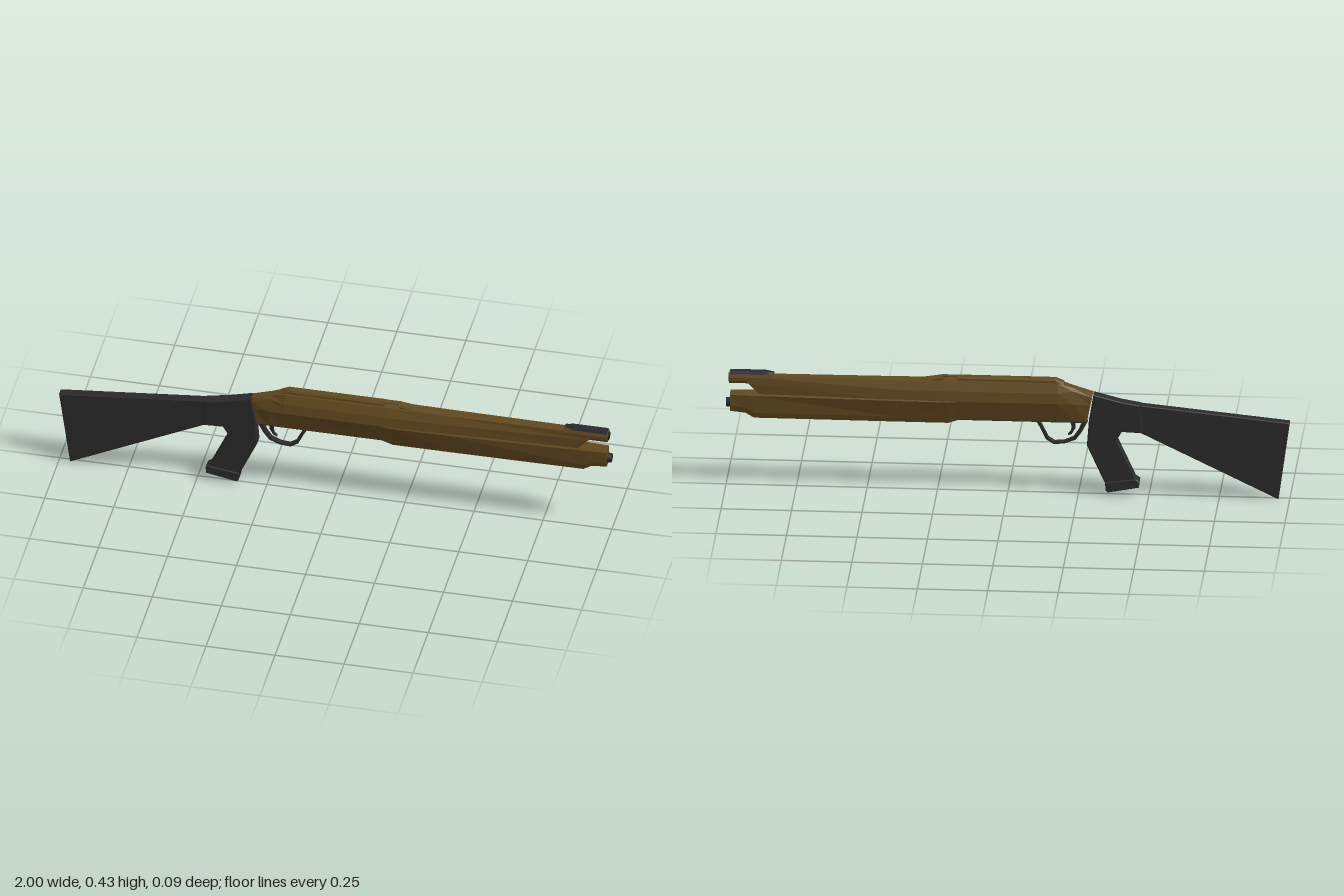
import * as THREE from 'three';

const brown = new THREE.MeshStandardMaterial({ color: 0x62491f });
brown.name = 'brown furniture';
const black = new THREE.MeshStandardMaterial({ color: 0x2b2b2b });
black.name = 'black polymer';
const steel = new THREE.MeshStandardMaterial({ color: 0x292a30 });
steel.name = 'dark steel';
const bore = new THREE.MeshStandardMaterial({ color: 0x2a2112 });
bore.name = 'bore shadow';

// Faceted loft along x. Each station: { x, skew, p: [[halfWidth, y], ...] } listed from top to bottom.
function loft(stations) {
  const pos = [];
  const rings = stations.map(({ x, skew = 0, p }) => {
    const at = (y) => x + (y - 0.36) * skew;
    return [
      ...p.map(([w, y]) => [at(y), y, w]),
      ...[...p].reverse().map(([w, y]) => [at(y), y, -w]),
    ];
  });
  const n = rings[0].length;
  for (let i = 0; i < rings.length - 1; i++) {
    for (let j = 0; j < n; j++) {
      const k = (j + 1) % n;
      const a = rings[i][j], b = rings[i][k], c = rings[i + 1][j], d = rings[i + 1][k];
      pos.push(...a, ...b, ...d, ...a, ...d, ...c);
    }
  }
  const first = rings[0], last = rings[rings.length - 1];
  for (let j = 1; j < n - 1; j++) {
    pos.push(...last[0], ...last[j], ...last[j + 1]);
    pos.push(...first[0], ...first[j + 1], ...first[j]);
  }
  const g = new THREE.BufferGeometry();
  g.setAttribute('position', new THREE.Float32BufferAttribute(pos, 3));
  g.computeVertexNormals();
  return g;
}

// Side outline extruded symmetrically across z, with a small chamfer.
function plate(points, half, bevel = 0.003) {
  const shape = new THREE.Shape(points.map(([x, y]) => new THREE.Vector2(x, y)));
  const g = new THREE.ExtrudeGeometry(shape, {
    depth: 2 * (half - bevel), bevelEnabled: bevel > 0, bevelSize: bevel,
    bevelOffset: -bevel, bevelThickness: bevel, bevelSegments: 1,
  });
  return g.translate(0, 0, -(half - bevel));
}

export function createModel() {
  const model = new THREE.Group();
  const add = (name, geometry, material) => {
    const mesh = new THREE.Mesh(geometry, material);
    mesh.name = name;
    model.add(mesh);
    return mesh;
  };

  // Receiver and upper shroud
  add('receiver', loft([
    { x: -0.297, skew: -0.2, p: [[0.013, 0.386], [0.02, 0.372], [0.023, 0.345], [0.02, 0.28]] },
    { x: -0.235, skew: 0.1, p: [[0.014, 0.408], [0.024, 0.396], [0.034, 0.35], [0.021, 0.28]] },
    { x: -0.18, p: [[0.022, 0.423], [0.036, 0.39], [0.04, 0.353], [0.022, 0.28]] },
    { x: 0.2, p: [[0.022, 0.423], [0.037, 0.39], [0.042, 0.353], [0.022, 0.28]] },
    { x: 0.4, p: [[0.021, 0.421], [0.034, 0.39], [0.038, 0.353], [0.022, 0.28]] },
    { x: 0.885, skew: 1, p: [[0.017, 0.42], [0.021, 0.395], [0.022, 0.355], [0.018, 0.29]] },
  ]), brown);

  // Fore-end with cut-back nose
  const forend = (x, w, bottom, bw) => ({
    x, p: [[w - 0.004, 0.356], [w, 0.35], [bw + 0.005, bottom + 0.02], [bw, bottom]],
  });
  add('foreEnd', loft([
    forend(0.175, 0.042, 0.277, 0.021),
    forend(0.21, 0.044, 0.265, 0.021),
    forend(0.4, 0.041, 0.265, 0.021),
    forend(0.9, 0.026, 0.265, 0.018),
    forend(0.93, 0.025, 0.283, 0.018),
    forend(0.985, 0.022, 0.288, 0.017),
  ]), brown);

  // Upper barrel shroud ahead of the notch
  const barrel = (x) => ({ x, p: [[0.014, 0.43], [0.02, 0.415], [0.02, 0.403], [0.015, 0.393]] });
  add('barrelShroud', loft([barrel(0.83), barrel(0.988)]), brown);

  // Top rib, its slot bridge and the front ramp
  const rib = (x, top) => ({ x, p: [[0.011, top], [0.015, top - 0.006], [0.017, 0.415]] });
  add('topRib', loft([rib(-0.2, 0.424), rib(-0.17, 0.437), rib(0.18, 0.437)]), brown);
  add('ribRamp', loft([rib(0.23, 0.437), rib(0.31, 0.424)]), brown);
  add('ribBridge', new THREE.BoxGeometry(0.06, 0.003, 0.02).translate(0.205, 0.4355, 0), brown);

  // Front sight strip
  add('frontSight', loft([
    { x: 0.83, p: [[0.008, 0.432], [0.015, 0.426]] },
    { x: 0.86, p: [[0.01, 0.437], [0.0165, 0.426]] },
    { x: 0.985, p: [[0.01, 0.437], [0.0165, 0.426]] },
  ]), steel);

  // Muzzle opening and magazine tube cap
  add('muzzle', new THREE.CylinderGeometry(0.015, 0.015, 0.006, 20)
    .rotateZ(Math.PI / 2).translate(0.988, 0.411, 0), bore);
  add('magazineCap', new THREE.CylinderGeometry(0.016, 0.02, 0.03, 20)
    .rotateZ(-Math.PI / 2).translate(0.985, 0.316, 0), steel);

  // Underside plate of the receiver
  add('lowerPlate', new THREE.BoxGeometry(0.455, 0.006, 0.036).translate(-0.05, 0.279, 0), black);

  // Shoulder stock
  add('stock', plate([
    [-1, 0.294], [-0.96, 0.005], [-0.47, 0.243], [-0.4, 0.247], [-0.4, 0.357], [-0.47, 0.347],
  ], 0.017), black);

  // Wrist and pistol grip
  add('pistolGrip', plate([
    [-0.47, 0.347], [-0.48, 0.243], [-0.405, 0.246], [-0.387, 0.215], [-0.458, 0.06],
    [-0.35, 0.04], [-0.281, 0.192], [-0.288, 0.285], [-0.304, 0.384], [-0.4, 0.359],
  ], 0.021), black);
  add('gripCap', plate([
    [-0.455, 0.07], [-0.468, 0.06], [-0.465, 0.038], [-0.356, 0.017], [-0.348, 0.025],
    [-0.345, 0.055],
  ], 0.024), black);

  // Trigger guard: a flat bent strip
  const outer = [[-0.284, 0.28], [-0.262, 0.238], [-0.24, 0.208], [-0.2, 0.193], [-0.162, 0.19],
    [-0.135, 0.208], [-0.115, 0.25], [-0.098, 0.28]];
  const inner = [[-0.11, 0.28], [-0.126, 0.25], [-0.144, 0.214], [-0.166, 0.2], [-0.2, 0.203],
    [-0.232, 0.217], [-0.25, 0.243], [-0.266, 0.28]];
  add('triggerGuard', plate([...outer, ...inner], 0.009, 0.001), black);

  // Curved trigger blade
  add('trigger', plate([
    [-0.24, 0.28], [-0.24, 0.252], [-0.226, 0.228], [-0.212, 0.222], [-0.213, 0.228],
    [-0.223, 0.24], [-0.226, 0.258], [-0.218, 0.28],
  ], 0.004, 0.001), steel);

  return model;
}
